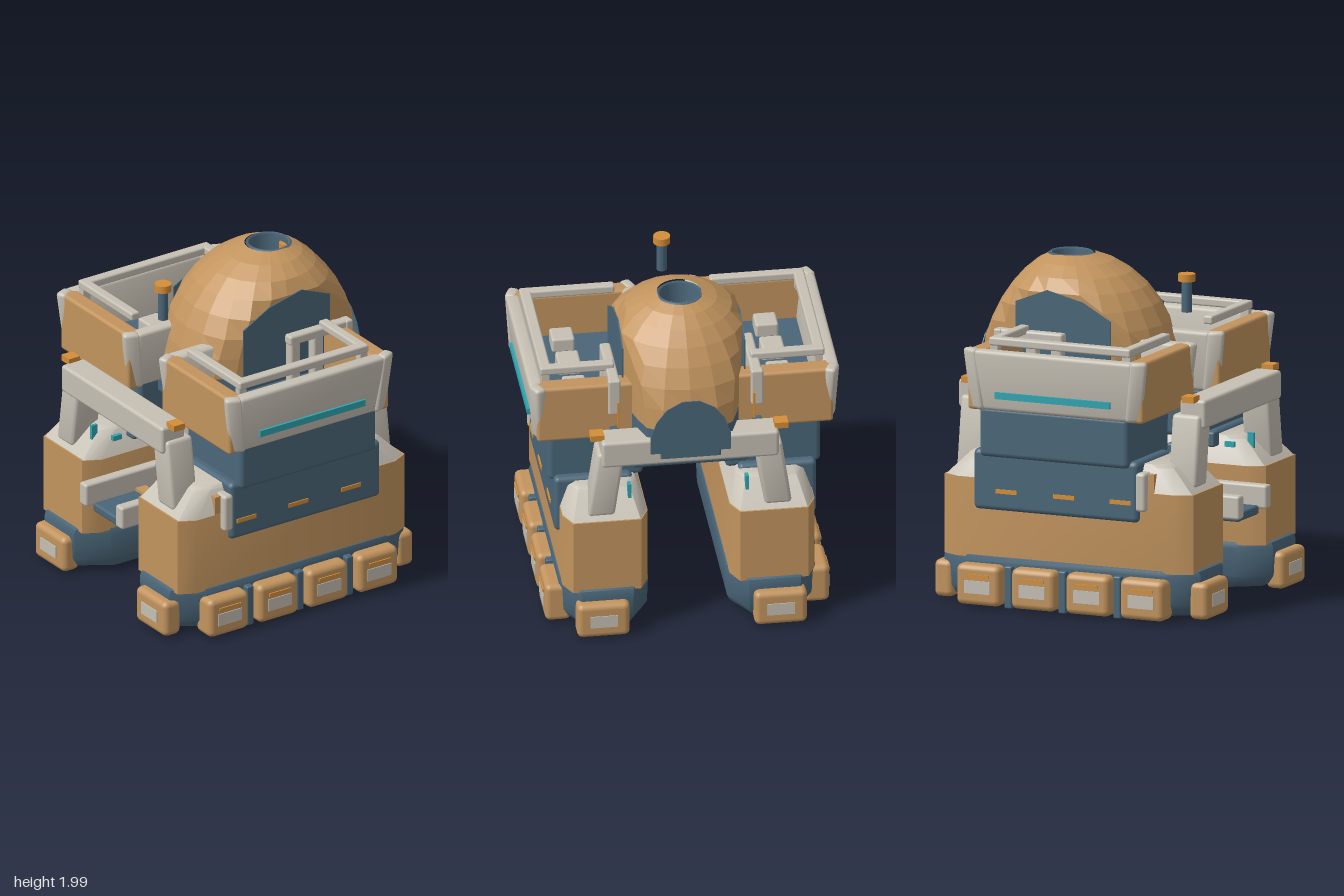
import * as THREE from 'three';
import { RoundedBoxGeometry } from 'three/addons/geometries/RoundedBoxGeometry.js';
import { toCreasedNormals } from 'three/addons/utils/BufferGeometryUtils.js';

const paint = (name, color) => {
  const m = new THREE.MeshStandardMaterial({ color });
  m.name = name;
  return m;
};

export function createModel() {
  const tan = paint('tan', 0xc2945e), blue = paint('slate blue', 0x4a6679);
  const grey = paint('warm grey', 0xc6c0b4), orange = paint('orange', 0xd48e37), teal = paint('teal', 0x2fa5b0);
  blue.side = THREE.DoubleSide;
  const root = new THREE.Group();

  const add = (parent, name, geo, mat, x = 0, y = 0, z = 0) => {
    const m = new THREE.Mesh(geo, mat);
    m.name = name;
    m.position.set(x, y, z);
    parent.add(m);
    return m;
  };
  // Box given by its limits, rounded when r > 0
  const box = (parent, name, mat, [x0, x1], [y0, y1], [z0, z1], r = 0) => {
    const w = x1 - x0, h = y1 - y0, d = z1 - z0;
    const geo = r ? new RoundedBoxGeometry(w, h, d, 2, r) : new THREE.BoxGeometry(w, h, d);
    return add(parent, name, geo, mat, (x0 + x1) / 2, (y0 + y1) / 2, (z0 + z1) / 2);
  };
  // Block lofted through chamfered rectangles: [y, half x, half z, chamfer x, chamfer z]
  const loft = (levels) => {
    const pos = [], idx = [];
    levels.forEach(([y, a, b, c, d]) => {
      [[a, b - d], [a - c, b], [c - a, b], [-a, b - d], [-a, d - b], [c - a, -b], [a - c, -b], [a, d - b]]
        .forEach(([x, z]) => pos.push(x, y, z));
    });
    for (let l = 0; l < levels.length - 1; l++) {
      for (let i = 0; i < 8; i++) {
        const p = l * 8 + i, q = l * 8 + (i + 1) % 8;
        idx.push(p, p + 8, q, q, p + 8, q + 8);
      }
    }
    const top = (levels.length - 1) * 8;
    for (let i = 1; i < 7; i++) idx.push(0, i, i + 1, top, top + i + 1, top + i);
    const g = new THREE.BufferGeometry();
    g.setAttribute('position', new THREE.Float32BufferAttribute(pos, 3));
    g.setIndex(idx);
    return toCreasedNormals(g, 0.6);
  };
  // Box whose upper end is moved by dx, dz
  const leaning = (w, h, d, dx, dz) => {
    const g = new RoundedBoxGeometry(w, h, d, 2, 0.022), p = g.attributes.position;
    for (let i = 0; i < p.count; i++) {
      const t = p.getY(i) / h + 0.5;
      p.setX(i, p.getX(i) + dx * t);
      p.setZ(i, p.getZ(i) + dz * t);
    }
    return toCreasedNormals(g, 0.9);
  };

  // One side of the vehicle; s = 1 is the front side, -1 the back side
  const buildSide = (s) => {
    const side = new THREE.Group();
    side.name = s > 0 ? 'frontSide' : 'backSide';
    root.add(side);
    const Z = (a, b) => (s > 0 ? [a, b] : [-b, -a]);
    const put = (name, mat, x, y, z0, z1, r) => box(side, name, mat, x, y, Z(z0, z1), r);

    // Foot and leg
    add(side, 'foot', loft([[0.025, 0.72, 0.2, 0.16, 0.11], [0.05, 0.78, 0.235, 0.17, 0.11], [0.1, 0.815, 0.255, 0.18, 0.11],
      [0.27, 0.825, 0.262, 0.19, 0.11], [0.3, 0.815, 0.255, 0.19, 0.1], [0.31, 0.79, 0.24, 0.18, 0.09]]), blue, 0, 0, s * 0.49);
    add(side, 'leg', loft([[0.29, 0.8, 0.25, 0.1, 0.05], [0.76, 0.8, 0.25, 0.1, 0.05]]), tan, 0, 0, s * 0.49);
    add(side, 'legShoulder', loft([[0.75, 0.8, 0.25, 0.1, 0.05], [0.9, 0.65, 0.2, 0.08, 0.05],
      [0.92, 0.61, 0.185, 0.08, 0.05]]), grey, 0, 0, s * 0.49);
    put('legUpper', tan, [-0.57, 0.57], [0.72, 0.87], 0.31, 0.738);

    // Foot pads with plates and dividers
    for (const x of [-0.53, -0.18, 0.17, 0.523]) {
      put('footPad', tan, [x - 0.14, x + 0.14], [0.02, 0.26], 0.68, 0.835, 0.035);
      put('padPlate', grey, [x - 0.083, x + 0.083], [0.092, 0.168], 0.833, 0.84);
      put('padStrip', orange, [x - 0.075, x + 0.075], [0.187, 0.205], 0.834, 0.843);
    }
    for (const x of [-0.353, 0, 0.347]) put('footDivider', blue, [x - 0.024, x + 0.024], [0.01, 0.26], 0.7, 0.79, 0.01);
    for (const e of [-1, 1]) {
      const X = (a, b) => (e > 0 ? [a, b] : [-b, -a]);
      put('endPad', tan, X(0.76, 0.88), [0.02, 0.24], 0.365, 0.675, 0.035);
      put('endPlate', grey, X(0.878, 0.885), [0.092, 0.168], 0.44, 0.6);
      // Leaning strut
      add(side, 'strut', leaning(0.18, 0.42, 0.16, 0, -s * 0.06), grey, e * 0.68, 0.99, s * 0.52);
      put('strutLamp', orange, X(0.672, 0.748), [1.28, 1.318], 0.5, 0.58);
      put('strutLight', teal, X(0.66, 0.7), [0.83, 0.94], 0.335, 0.355);
    }

    // Stacked hull blocks
    put('lowerHull', blue, [-0.48, 0.58], [0.58, 0.94], 0.31, 0.77, 0.03);
    put('upperHull', blue, [-0.43, 0.53], [0.9, 1.2], 0.24, 0.8, 0.03);
    put('hullBlock', grey, [-0.53, -0.465], [0.65, 0.88], 0.66, 0.78, 0.02);
    for (const x of [-0.37, -0.005, 0.365]) put('hullStrip', orange, [x - 0.068, x + 0.068], [0.685, 0.71], 0.769, 0.777);

    // Open cargo tub
    put('tubFloor', blue, [-0.5, 0.5], [1.19, 1.28], 0.2, 0.84);
    put('tubEndWall', tan, [-0.56, -0.455], [1.19, 1.55], 0.17, 0.87, 0.02);
    put('tubEndWall', tan, [0.455, 0.57], [1.19, 1.55], 0.17, 0.87, 0.02);
    add(side, 'tubOuterWall', leaning(1.02, 0.355, 0.09, 0, s * 0.035), grey, 0.005, 1.373, s * 0.83);
    add(side, 'tubInnerWall', leaning(1.02, 0.355, 0.09, 0, -s * 0.035), grey, 0.005, 1.373, s * 0.22);
    for (const e of [-1, 1]) for (const f of [-1, 1]) {
      const c = add(side, 'tubCorner', leaning(0.1, 0.36, 0.07, e * 0.03, f * s * 0.035), grey,
        0.005 + e * 0.495, 1.375, s * (0.525 + f * 0.32));
      c.rotation.y = e * f * s * 0.42;
    }
    put('tubLight', teal, [-0.36, 0.38], [1.27, 1.31], 0.878, 0.902);
    for (const x of [-0.345, -0.085, 0.19]) put('tubSeat', grey, [x - 0.07, x + 0.07], [1.26, 1.36], 0.53, 0.665, 0.015);

    // Rails above the tub
    put('outerRail', grey, [-0.46, 0.45], [1.57, 1.62], 0.77, 0.835, 0.012);
    put('sideRail', grey, [-0.46, -0.4], [1.57, 1.62], 0.28, 0.835, 0.012);
    put('sideRail', grey, [0.39, 0.45], [1.57, 1.62], 0.4, 0.835, 0.012);
    for (const x of [-0.43, 0.42]) put('railPost', grey, [x - 0.025, x + 0.025], [1.5, 1.58], 0.78, 0.825);
    put('innerRail', grey, [0.16, 0.6], [1.53, 1.59], 0.385, 0.45, 0.015);
    for (const x of [0.2, 0.36]) put('innerRailPost', grey, [x - 0.035, x + 0.035], [1.27, 1.56], 0.385, 0.45, 0.015);
    put('outerRailPost', grey, [0.55, 0.6], [1.36, 1.59], 0.383, 0.455, 0.012);
    put('railStub', blue, [0.5, 0.63], [1.2, 1.27], 0.395, 0.445, 0.01);
    put('railMarker', orange, [0.597, 0.612], [1.28, 1.45], 0.393, 0.405);

    // Step rail and small box on the inner face of the leg
    put('stepRail', grey, [-0.87, -0.33], [0.535, 0.675], 0.15, 0.22, 0.015);
    put('innerBox', blue, [-0.53, -0.41], [0.87, 0.96], 0.16, 0.24, 0.015);
    put('innerLight', teal, [-0.63, -0.57], [0.87, 0.9], 0.215, 0.24);

    // Flat arched window on the side of the dome
    const arch = new THREE.Shape([[-0.11, 1.2], [0.5, 1.2], [0.5, 1.745], [0.3, 1.825], [0.07, 1.77], [-0.11, 1.67]]
      .map(([x, y]) => new THREE.Vector2(x, y)));
    add(side, 'domeSideWindow', new THREE.ExtrudeGeometry(arch, { depth: 0.008, bevelEnabled: false }), blue,
      0, 0, s > 0 ? 0.354 : -0.362);
  };
  buildSide(1);
  buildSide(-1);

  // Cross beams joining both sides
  box(root, 'crossBeam', grey, [-0.795, -0.63], [1.12, 1.29], [-0.52, 0.52], 0.02);
  box(root, 'crossBeam', grey, [0.625, 0.795], [1.12, 1.29], [-0.52, 0.52], 0.02);

  // Core under the dome
  box(root, 'coreDeck', blue, [-0.3, 0.77], [1.09, 1.21], [-0.34, 0.34], 0.02);
  box(root, 'coreBelly', blue, [-0.2, 0.52], [0.97, 1.1], [-0.25, 0.25], 0.03);

  // Faceted dome, flattened at the sides and the right end
  const outline = [[-0.35, 0.13], [-0.22, 0.28], [-0.1, 0.34], [0.1, 0.355], [0.42, 0.355], [0.62, 0.3], [0.81, 0.23]];
  const halfWidth = (x) => {
    for (let i = 1; i < outline.length; i++) {
      const [x0, w0] = outline[i - 1], [x1, w1] = outline[i];
      if (x <= x1) return w0 + (w1 - w0) * Math.max(0, (x - x0) / (x1 - x0));
    }
    return 0.23;
  };
  const domeBand = (from, to, rings) => {
    let g = new THREE.SphereGeometry(1, 22, rings, 0, Math.PI * 2, from, to - from);
    const p = g.attributes.position;
    for (let i = 0; i < p.count; i++) {
      const y = p.getY(i);
      const x = Math.min(0.8, 0.25 + 0.6 * p.getX(i) + 0.06 * y ** 8);
      const w = halfWidth(x);
      p.setXYZ(i, x, 1.2 + 0.81 * y, Math.max(-w, Math.min(w, 0.6 * p.getZ(i))));
    }
    g = g.toNonIndexed();
    g.computeVertexNormals();
    return g;
  };
  add(root, 'dome', domeBand(0.218, 1.385, 7), tan);
  add(root, 'domeBase', domeBand(1.385, 1.62, 1), blue);
  const endArch = new THREE.Shape([[-0.235, 1.2], [0.235, 1.2], [0.235, 1.31], [0.2, 1.41], [0.14, 1.49], [0.05, 1.54],
    [-0.05, 1.54], [-0.14, 1.49], [-0.2, 1.41], [-0.235, 1.31]].map(([x, y]) => new THREE.Vector2(x, y)));
  const endWindow = add(root, 'domeEndWindow',
    new THREE.ExtrudeGeometry(endArch, { depth: 0.006, bevelEnabled: false }), blue, 0.797, 0, 0);
  endWindow.rotation.y = Math.PI / 2;

  // Hatch well in the dome top
  const well = new THREE.LatheGeometry([[0.105, 1.78], [0.115, 1.98], [0.122, 1.995], [0.135, 1.985]]
    .map(([r, y]) => new THREE.Vector2(r, y)), 24);
  add(root, 'hatchWell', well, blue, 0.315, 0, 0);
  add(root, 'hatchFloor', new THREE.CylinderGeometry(0.107, 0.107, 0.02, 24), tan, 0.315, 1.78, 0);
  add(root, 'hatchLamp', new THREE.CylinderGeometry(0.06, 0.06, 0.03, 20), orange, 0.315, 1.795, 0);
  add(root, 'hatchSideLamp', new THREE.CylinderGeometry(0.04, 0.04, 0.04, 16), orange, 0.435, 1.93, 0);

  // Mast with cap
  add(root, 'mast', new THREE.CylinderGeometry(0.03, 0.03, 0.19, 16), blue, -0.43, 1.79, 0);
  add(root, 'mastCap', new THREE.CylinderGeometry(0.05, 0.05, 0.045, 16), orange, -0.43, 1.9, 0);

  // Boarding step between the legs
  box(root, 'boardingStep', blue, [-0.83, -0.33], [0.505, 0.56], [-0.14, 0.14], 0.015);
  box(root, 'stepTread', tan, [-0.55, -0.48], [0.572, 0.592], [-0.105, 0.105]);

  return root;
}
